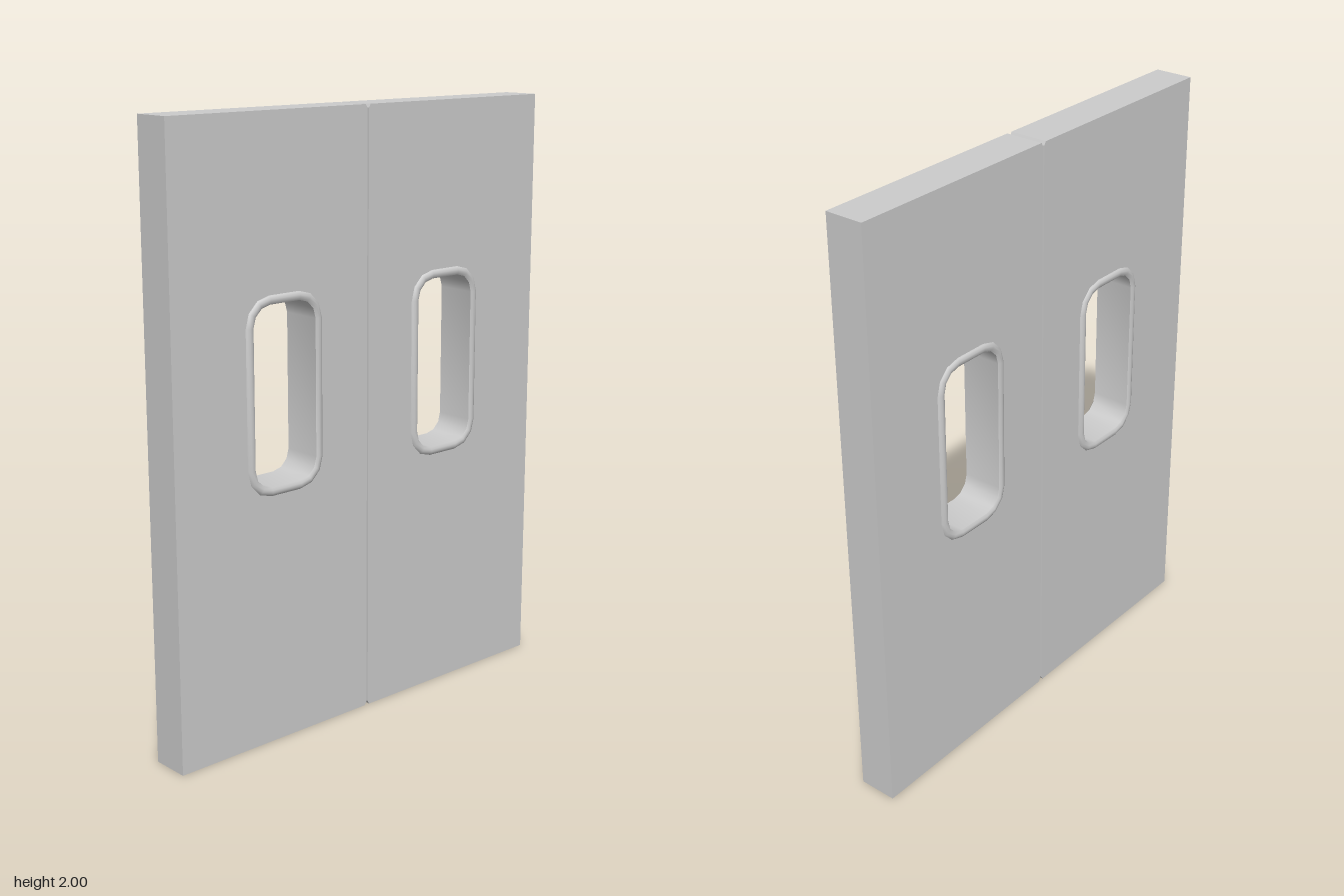
import * as THREE from 'three';
import { toCreasedNormals } from 'three/addons/utils/BufferGeometryUtils.js';

const HALF_DEPTH = 0.065;
const WINDOW = { x: 0.346, y: 1.137, w: 0.246, h: 0.574, r: 0.065 };
const material = new THREE.MeshStandardMaterial({ color: 0xcccccc });

// Anticlockwise rounded rectangle around the window, grown by an offset
function windowOutline(offset, segments = 3) {
  const points = [];
  const cx = WINDOW.w / 2 - WINDOW.r, cy = WINDOW.h / 2 - WINDOW.r;
  const corners = [[cx, cy], [-cx, cy], [-cx, -cy], [cx, -cy]];
  corners.forEach(([x, y], c) => {
    for (let i = 0; i <= segments; i++) {
      const a = (c + i / segments) * Math.PI / 2;
      const r = WINDOW.r + offset;
      points.push(new THREE.Vector2(x + r * Math.cos(a), y + r * Math.sin(a)));
    }
  });
  return points;
}

// Slab centred on z = 0
function slab(shape) {
  const g = new THREE.ExtrudeGeometry(shape, { depth: 2 * HALF_DEPTH, bevelEnabled: false });
  return g.translate(0, 0, -HALF_DEPTH);
}

function polygon(points) {
  return new THREE.Shape(points.map(([x, y]) => new THREE.Vector2(x, y)));
}

// Door leaf with its window opening
function leafGeometry(side) {
  const shape = polygon([[-0.381, 0], [0.381, 0], [0.381, 2], [-0.381, 2]]);
  const opening = windowOutline(0.01).map(p => p.add(new THREE.Vector2(side * (WINDOW.x - 0.391), WINDOW.y)));
  shape.holes.push(new THREE.Path(opening.reverse()));
  return slab(shape).translate(side * 0.391, 0, 0);
}

// Raised rim on both faces joined by the lining of the opening
function windowFrameGeometry() {
  const front = [[0.03, 0.062], [0.025, 0.069], [0.017, 0.073], [0.008, 0.073], [0, 0.068]];
  const profile = [...front, ...front.map(([o, z]) => [o, -z]).reverse()];
  const rings = profile.map(([o, z]) => windowOutline(o).map(p => [p.x, p.y, z]));
  const n = rings[0].length, index = [];
  for (let i = 0; i < rings.length - 1; i++) {
    for (let j = 0; j < n; j++) {
      const a = i * n + j, b = i * n + (j + 1) % n;
      index.push(a, b, b + n, a, b + n, a + n);
    }
  }
  const g = new THREE.BufferGeometry();
  g.setAttribute('position', new THREE.Float32BufferAttribute(rings.flat(2), 3));
  g.setIndex(index.map((_, k) => index[k - (k % 3) + [0, 2, 1][k % 3]]).reverse());
  return toCreasedNormals(g, 0.65);
}

// Edge strip with slanted ends, filling most of the gap between the leaves
function edgeSealGeometry(side) {
  const pts = [[0.01, 0], [0.01, 2], [0.003, 1.988], [0.003, 0.012]];
  return slab(polygon(pts.map(([x, y]) => [side * x, y])));
}

function addMesh(parent, name, geometry) {
  const mesh = new THREE.Mesh(geometry, material);
  mesh.name = name;
  parent.add(mesh);
  return mesh;
}

export function createModel() {
  const model = new THREE.Group();
  model.name = 'doubleDoor';
  for (const [name, side] of [['leftDoor', 1], ['rightDoor', -1]]) {
    const door = new THREE.Group();
    door.name = name;
    addMesh(door, 'doorLeaf', leafGeometry(side));
    addMesh(door, 'windowFrame', windowFrameGeometry()).position.set(side * WINDOW.x, WINDOW.y, 0);
    addMesh(door, 'edgeSeal', edgeSealGeometry(side));
    model.add(door);
  }
  return model;
}
